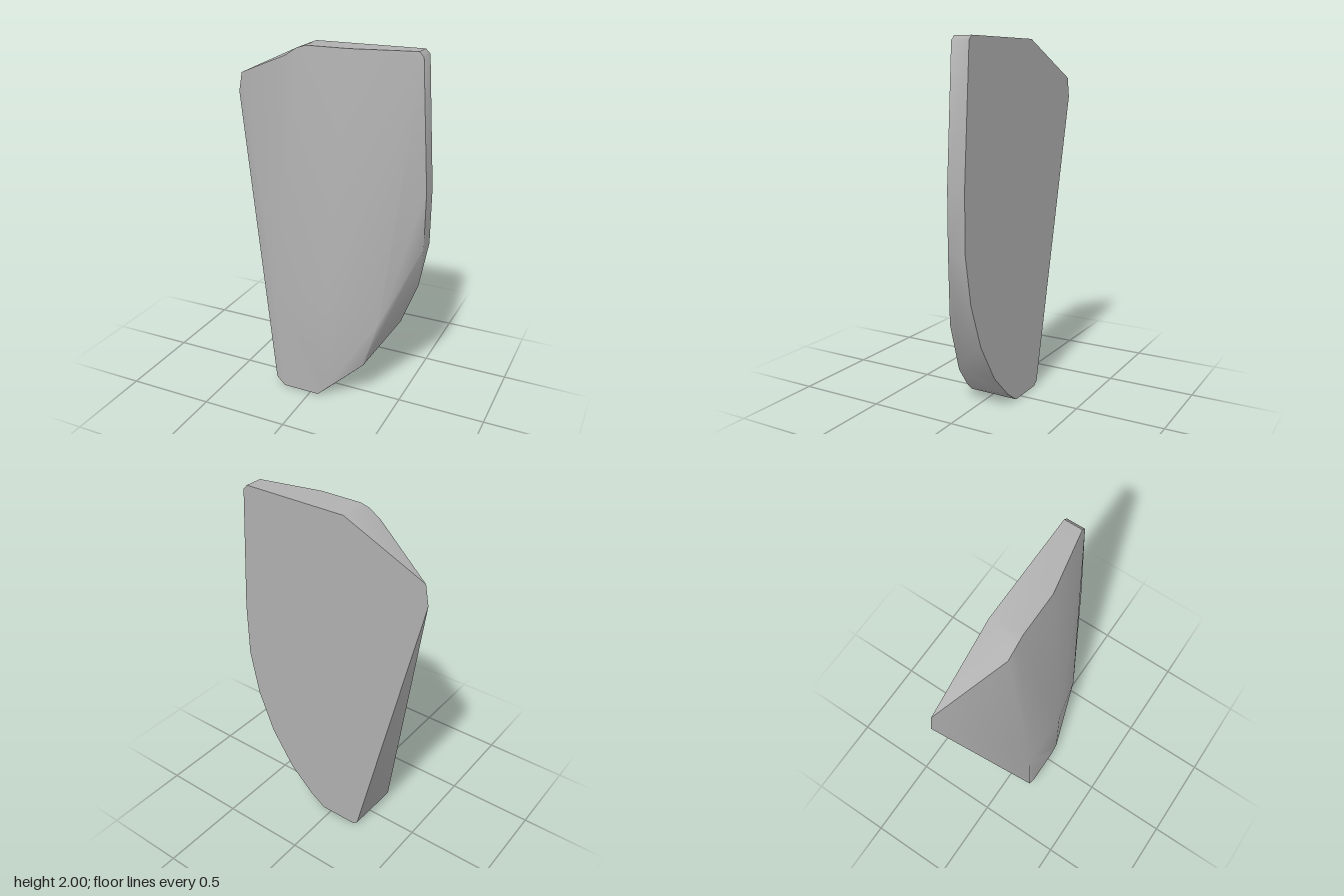
import * as THREE from 'three';
import { ConvexGeometry } from 'three/addons/geometries/ConvexGeometry.js';
import { toCreasedNormals } from 'three/addons/utils/BufferGeometryUtils.js';

const BACK = -0.15, RIM = -0.05, FRONT = 0.15;

export function createModel() {
  const group = new THREE.Group();
  group.name = 'facetedSlab';
  const grey = new THREE.MeshStandardMaterial({ color: 0xb0b0b0 });
  grey.name = 'stone grey';

  // flat back outline, clockwise from the upper left corner
  const back = [
    [-0.59, 1.68], [-0.57, 1.79], [-0.1, 2], [0.51, 2], [0.535, 1.975],
    [0.585, 1.27], [0.585, 0.95], [0.535, 0.68], [0.44, 0.43], [0.3, 0.21],
    [0.15, 0.065], [0.055, 0], [-0.17, 0], [-0.2, 0.025],
  ].map(([x, y]) => [x, y, BACK]);

  // vertical wall along the upper right edge
  const rim = [[0.51, 2], [0.535, 1.975], [0.585, 1.27], [0.585, 0.95]]
    .map(([x, y]) => [x, y, RIM]);

  // thick front panel near the foot
  const panel = [[-0.22, 0.05], [-0.17, 0], [0.05, 0], [0.1, 0.05], [0.1, 0.62], [-0.22, 0.62]]
    .map(([x, y]) => [x, y, FRONT]);

  // top ridge, its small bevel, and the lower right shoulder
  const ridge = [
    [-0.08, 2, 0.02], [-0.13, 1.985, 0.022], [-0.2, 1.94, 0.02], [0.16, 2, 0.02],
    [0.385, 0.5, 0.075], [0.3, 0.22, 0.075],
  ];

  const points = [...back, ...rim, ...panel, ...ridge].map((p) => new THREE.Vector3(...p));
  const slab = new THREE.Mesh(toCreasedNormals(new ConvexGeometry(points), 0.72), grey);
  slab.name = 'slab';
  group.add(slab);
  return group;
}
